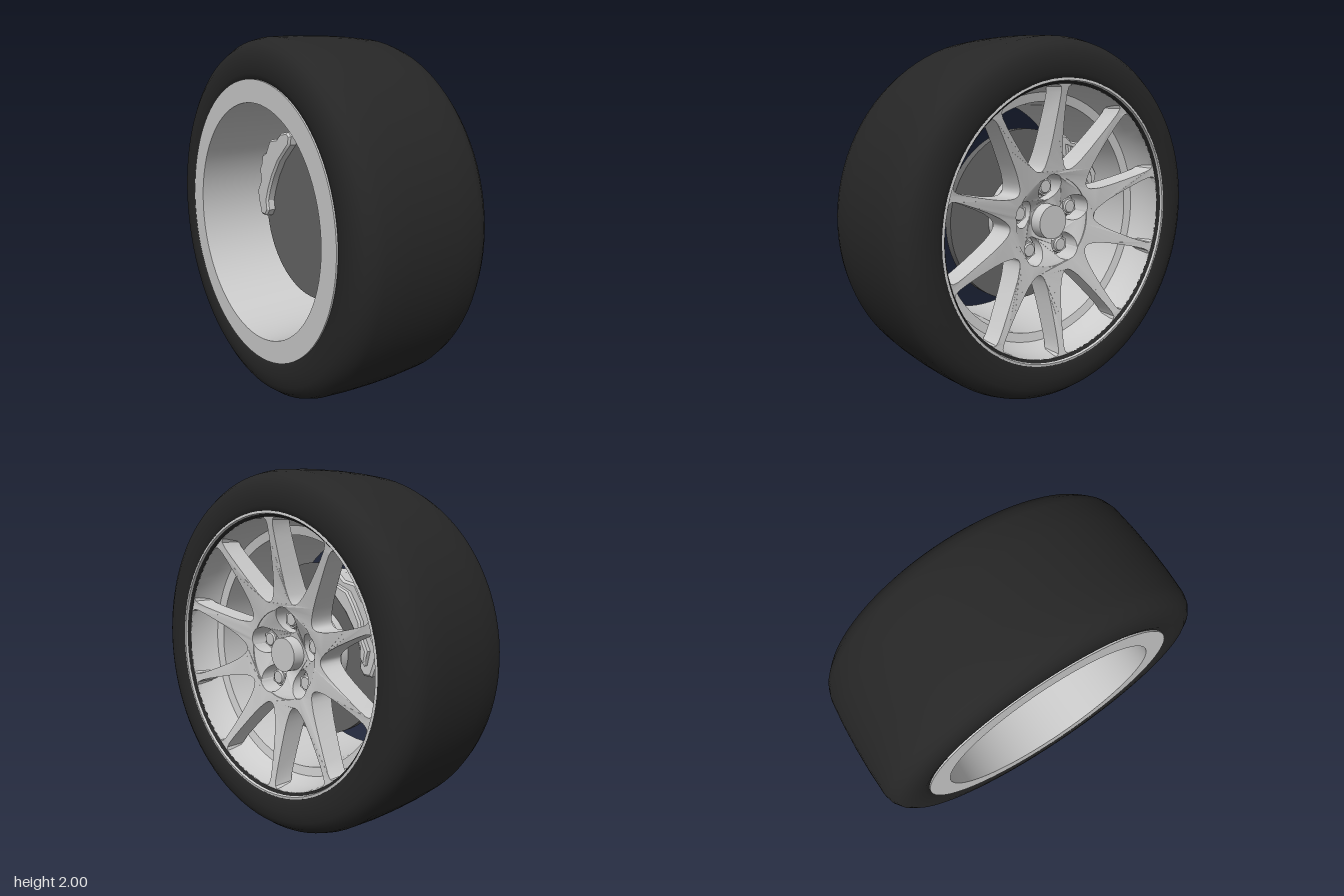
import * as THREE from 'three';
import { toCreasedNormals } from 'three/addons/utils/BufferGeometryUtils.js';

const metal = new THREE.MeshStandardMaterial({ color: 0xcccccc });
const rubber = new THREE.MeshStandardMaterial({ color: 0x262626 });
const iron = new THREE.MeshStandardMaterial({ color: 0x666666 });
const TAU = Math.PI * 2;
const polar = (r, a) => new THREE.Vector2(r * Math.cos(a), r * Math.sin(a));

function add(parent, name, geometry, material) {
  const mesh = new THREE.Mesh(geometry, material);
  mesh.name = name;
  parent.add(mesh);
  return mesh;
}

// Closed ring turned about z; profile is [radius, z], counter-clockwise
function ring(profile, segments, crease) {
  const pts = [...profile, profile[0]].map(([r, z]) => new THREE.Vector2(r, z));
  return toCreasedNormals(new THREE.LatheGeometry(pts, segments).rotateX(Math.PI / 2), crease);
}

// Solid cylinder along z between two depths
function disc(r, z0, z1, sides = 48, topR = r) {
  return new THREE.CylinderGeometry(topR, r, z1 - z0, sides)
    .rotateX(Math.PI / 2).translate(0, 0, (z0 + z1) / 2);
}

// Extrusion whose back and front depths depend on the radius
function dished(shape, back, front) {
  const g = new THREE.ExtrudeGeometry(shape, { depth: 1, bevelEnabled: false });
  const p = g.attributes.position;
  for (let i = 0; i < p.count; i++) {
    const r = Math.hypot(p.getX(i), p.getY(i));
    p.setZ(i, p.getZ(i) > 0.5 ? front(r) : back(r));
  }
  return toCreasedNormals(g, 0.6);
}

// Outline of the hub recess: a circle with five bolt pockets, either
// bulging out of it or cut into it
const BOLT_R = 0.19, POCKET_R = 0.075, HUB_R = 0.25;
const boltAngle = k => Math.PI / 2 + k * TAU / 5;
function hubOutline(bulge) {
  const cosCut = (HUB_R ** 2 - BOLT_R ** 2 - POCKET_R ** 2) / (2 * BOLT_R * POCKET_R);
  const cut = Math.acos(cosCut);
  const half = Math.asin(POCKET_R * Math.sin(cut) / HUB_R);
  const pts = [];
  for (let k = 0; k < 5; k++) {
    const a = boltAngle(k), n = bulge ? 8 : 20;
    const sweep = bulge ? 2 * cut : 2 * cut - TAU;
    for (let i = 0; i <= n; i++)
      pts.push(polar(BOLT_R, a).add(polar(POCKET_R, a - cut + sweep * i / n)));
    for (let i = 1; i < 6; i++)
      pts.push(polar(HUB_R, a + half + (TAU / 5 - 2 * half) * i / 6));
  }
  return pts;
}

// Window between two spokes, from [radius, half width of the spoke]
function windowOutline(mid) {
  const side = [[0.302, 0.08], [0.315, 0.068], [0.34, 0.058], [0.38, 0.047], [0.45, 0.037],
    [0.55, 0.028], [0.64, 0.022], [0.7, 0.021], [0.73, 0.027], [0.742, 0.042]]
    .map(([r, w]) => [r, Math.PI / 10 - Math.asin(w / r)]);
  const pts = [polar(0.298, mid), ...side.map(([r, a]) => polar(r, mid + a))];
  for (let i = 1; i < 8; i++) pts.push(polar(0.745, mid + 0.25 * (1 - i / 4)));
  return [...pts, ...side.reverse().map(([r, a]) => polar(r, mid - a))];
}

function buildSpokes(parent) {
  const plate = new THREE.Shape().absarc(0, 0, 0.762, 0, TAU);
  plate.holes.push(new THREE.Path(hubOutline(true)));
  for (let k = 0; k < 10; k++)
    plate.holes.push(new THREE.Path(windowOutline(Math.PI / 2 + (k + 0.5) * TAU / 10)));
  plate.curves = [new THREE.SplineCurve([])];
  plate.getPoints = () => Array.from({ length: 80 }, (_, i) => polar(0.762, i * TAU / 80));
  const t = r => Math.min(1, Math.max(0, (r - HUB_R) / 0.5));
  add(parent, 'spokes', dished(plate, r => 0.12 + 0.13 * t(r), r => 0.28 + 0.09 * t(r) ** 1.2), metal);
}

function buildHub(parent) {
  const hub = new THREE.Group();
  hub.name = 'hub';
  parent.add(hub);
  add(hub, 'hubBowl', dished(new THREE.Shape(hubOutline(false)), () => 0.12,
    r => 0.2 + 0.075 * Math.max(0, (r - 0.1) / 0.15)), metal);
  add(hub, 'hubFloor', disc(0.28, 0.1, 0.15), metal);
  add(hub, 'centreCap', disc(0.098, 0.15, 0.28, 40, 0.094), metal);
  for (let k = 0; k < 5; k++) {
    const nut = new THREE.Group();
    nut.name = 'wheelNut';
    const p = polar(BOLT_R, boltAngle(k));
    nut.position.set(p.x, p.y, 0);
    add(nut, 'nutSeat', disc(0.068, 0.14, 0.165, 24), metal);
    add(nut, 'nutHead', toCreasedNormals(disc(0.054, 0.165, 0.205, 6), 0.5), metal);
    add(nut, 'nutTip', disc(0.04, 0.205, 0.215, 24, 0.034), metal);
    hub.add(nut);
  }
}

function buildBrake(parent) {
  const brake = new THREE.Group();
  brake.name = 'brake';
  parent.add(brake);
  add(brake, 'brakeDisc', disc(0.495, -0.03, 0.02, 64), iron);
  add(brake, 'discHat', disc(0.25, 0.02, 0.11), metal);
  const body = [[0.14, 0.44], [0.17, 0.465], [0.25, 0.45], [0.29, 0.415], [0.37, 0.4], [0.39, 0.37],
    [0.42, 0.32], [0.465, 0.3], [0.475, 0.25], [0.5, 0.21], [0.485, 0.14], [0.53, 0.07], [0.515, 0],
    [0.485, -0.08], [0.43, -0.08], [0.4, -0.04], [0.41, 0.02], [0.385, 0.09], [0.34, 0.18],
    [0.27, 0.28], [0.2, 0.345], [0.15, 0.39]];
  const raised = [[0.24, 0.4], [0.34, 0.36], [0.38, 0.3], [0.43, 0.21], [0.44, 0.14], [0.48, 0.06],
    [0.46, -0.02], [0.43, 0.02], [0.43, 0.08], [0.39, 0.16], [0.33, 0.25], [0.25, 0.33]];
  const solid = (outline, z0, depth, bevel) => toCreasedNormals(new THREE.ExtrudeGeometry(
    new THREE.Shape(outline.map(([x, y]) => new THREE.Vector2(x, y))),
    { depth, bevelThickness: bevel, bevelSize: bevel, bevelOffset: -bevel, bevelSegments: 1 })
    .translate(0, 0, z0), 0.5);
  add(brake, 'caliper', solid(body, -0.07, 0.16, 0.012), metal);
  add(brake, 'caliperRib', solid(raised, 0.09, 0.035, 0.01), metal);
}

export function createModel() {
  const model = new THREE.Group();
  model.name = 'wheel';

  // Everything is built with its axle along z, then turned to face +x
  const wheel = new THREE.Group();
  wheel.name = 'wheelAssembly';
  wheel.rotation.y = Math.PI / 2;
  wheel.position.y = 1;
  model.add(wheel);

  const half = [[1, 0], [0.997, 0.15], [0.988, 0.29], [0.975, 0.335], [0.945, 0.375],
    [0.905, 0.398], [0.85, 0.404], [0.8, 0.402], [0.768, 0.392], [0.745, 0.37]];
  const mirrored = half.slice(1).reverse().map(([r, z]) => [r, -z]);
  add(wheel, 'tyre', ring([...mirrored, ...half], 96, 0.9), rubber);

  // Barrel with a flat back flange, an inner step and a front lip
  add(wheel, 'rimBarrel', ring([[0.65, -0.402], [0.772, -0.402], [0.772, -0.36], [0.75, -0.34],
    [0.75, 0.34], [0.775, 0.37], [0.775, 0.394], [0.762, 0.396], [0.757, 0.375],
    [0.745, 0.365], [0.735, 0.26], [0.7, 0.2], [0.65, 0.19]], 80, 0.5), metal);

  buildSpokes(wheel);
  buildHub(wheel);
  buildBrake(wheel);
  return model;
}
